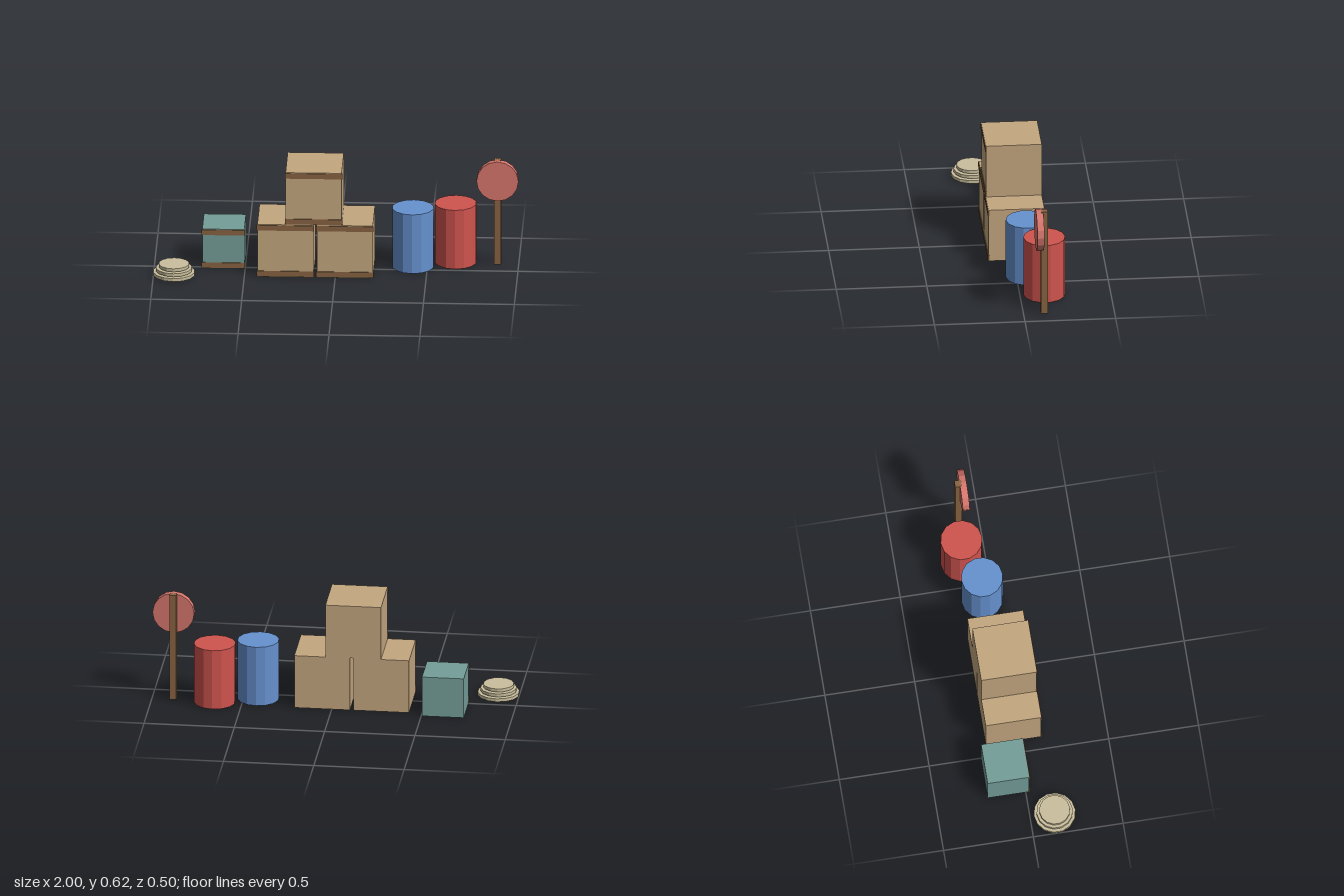
import * as THREE from 'three';

const mat = (name, color) => {
  const m = new THREE.MeshStandardMaterial({ color, flatShading: true });
  m.name = name;
  return m;
};

export function createModel() {
  const model = new THREE.Group();
  const tan = mat('crate tan', 0xc4a780);
  const brown = mat('wood brown', 0x886442);
  const teal = mat('chest teal', 0x759e99);
  const blue = mat('drum blue', 0x6691cf);
  const red = mat('drum red', 0xcf544e);
  const coral = mat('sign coral', 0xd6766d);
  const sand = mat('sandbag beige', 0xcabf9d);

  const add = (parent, name, geometry, material, x, y, z) => {
    const mesh = new THREE.Mesh(geometry, material);
    mesh.name = name;
    mesh.position.set(x, y, z);
    parent.add(mesh);
    return mesh;
  };
  const group = (name, x, y, z) => {
    const g = new THREE.Group();
    g.name = name;
    g.position.set(x, y, z);
    model.add(g);
    return g;
  };

  // Cube with two wooden slats across its front face
  const crate = (name, size, material, x, y, z) => {
    const g = group(name, x, y, z);
    add(g, 'crateBody', new THREE.BoxGeometry(size, size, size), material, 0, size / 2, 0);
    for (const [slat, h] of [['lowerSlat', 0.0195], ['upperSlat', size - 0.0188]]) {
      add(g, slat, new THREE.BoxGeometry(size + 0.008, 0.031, 0.008), brown, 0, h, size / 2);
    }
  };
  crate('leftCrate', 0.308, tan, 0.053, 0, -0.019);
  crate('rightCrate', 0.308, tan, -0.274, 0, -0.019);
  crate('topCrate', 0.308, tan, -0.119, 0.308, -0.019);
  crate('tealChest', 0.231, teal, -0.62, 0, -0.096);

  // Drums
  const drum = new THREE.CylinderGeometry(0.1155, 0.1155, 0.3465, 14);
  add(model, 'blueDrum', drum, blue, 0.42, 0.1733, -0.0575);
  add(model, 'redDrum', drum, red, 0.652, 0.1733, -0.135);

  // Stack of shrinking discs
  const stack = group('discStack', -0.887, 0, 0.1365);
  for (let i = 0; i < 3; i++) {
    const r = 0.1155 - i * 0.0154;
    add(stack, 'disc' + (i + 1), new THREE.CylinderGeometry(r, r, 0.018, 14), sand, 0, 0.017 + i * 0.0231, 0);
  }

  // Round sign on a square post
  const sign = group('signPost', 0.8845, 0, -0.1155);
  add(sign, 'post', new THREE.BoxGeometry(0.0385, 0.616, 0.0385), brown, 0, 0.308, 0);
  const plate = add(sign, 'signDisc', new THREE.CylinderGeometry(0.1155, 0.1155, 0.0385, 16), coral, 0, 0.501, 0.027);
  plate.rotation.x = Math.PI / 2;

  return model;
}
